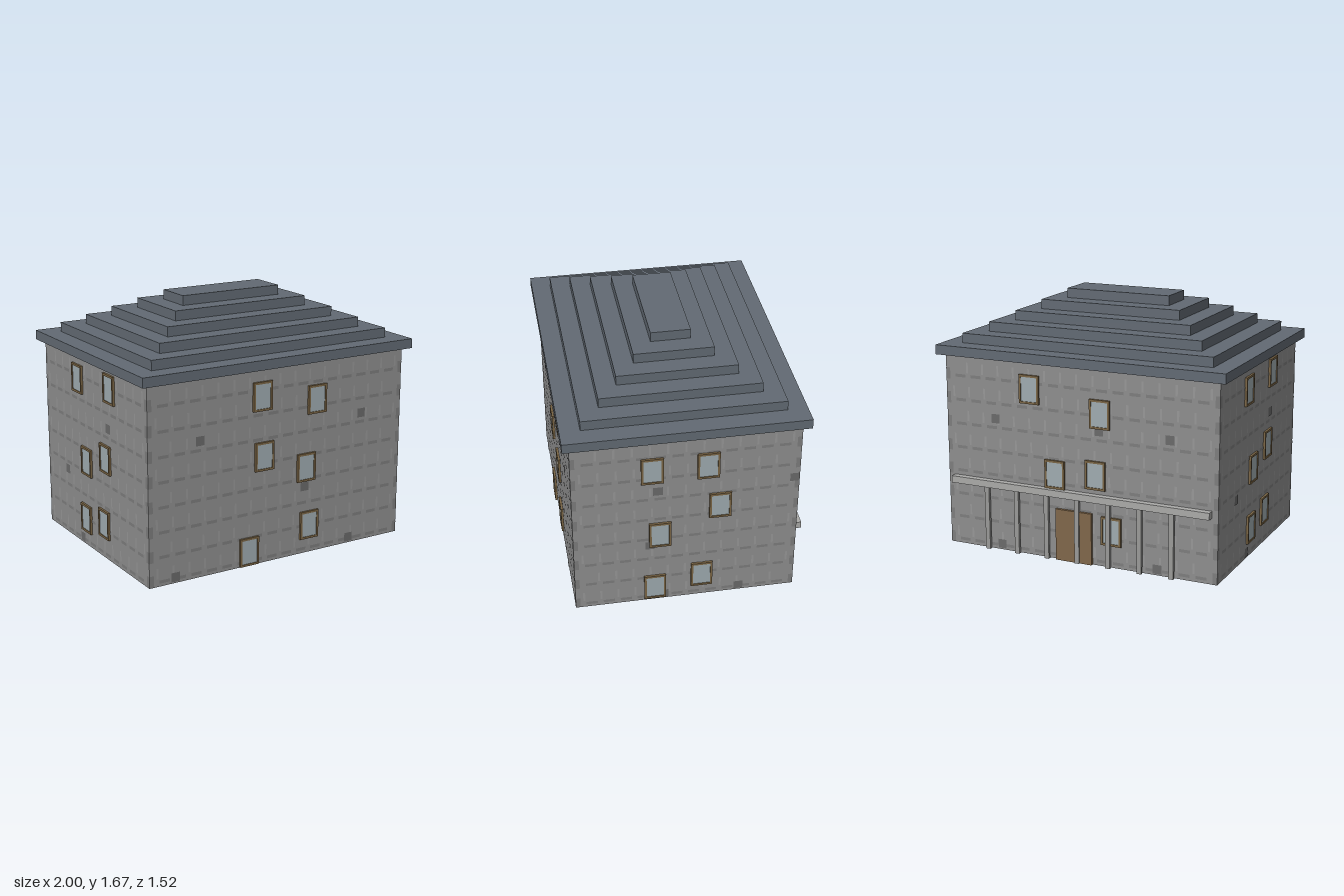
import * as THREE from 'three';
import { mergeGeometries } from 'three/addons/utils/BufferGeometryUtils.js';

const W = 0.952, D = 0.717, H = 1.286; // half width, half depth and height of the walls
const mat = (color) => new THREE.MeshStandardMaterial({ color });
const M = {
  stone: mat(0x8e8e8e), dark: mat(0x7d7d7d), light: mat(0x979797), patch: mat(0x6a6a6a),
  roof: mat(0x626a73), frame: mat(0x7a6545), glass: mat(0x9fabb0),
  door: mat(0x80674a), post: mat(0x9a9a98), beam: mat(0xaaaaa8),
};

function add(parent, name, geometry, material, x = 0, y = 0, z = 0) {
  const mesh = new THREE.Mesh(geometry, material);
  mesh.name = name;
  mesh.position.set(x, y, z);
  parent.add(mesh);
  return mesh;
}
const box = (w, h, d) => new THREE.BoxGeometry(w, h, d);
const tile = (w, h, x, y, z) => new THREE.PlaneGeometry(w, h).translate(x, y, z);

// Window: a wooden ring around a slightly recessed pane
function rectPath(path, w, h) {
  path.moveTo(-w / 2, -h / 2);
  path.lineTo(w / 2, -h / 2);
  path.lineTo(w / 2, h / 2);
  path.lineTo(-w / 2, h / 2);
  path.closePath();
  return path;
}
const ring = rectPath(new THREE.Shape(), 0.14, 0.188);
ring.holes.push(rectPath(new THREE.Path(), 0.112, 0.16));
const frameGeometry = new THREE.ExtrudeGeometry(ring, { depth: 0.015, bevelEnabled: false });
const paneGeometry = box(0.112, 0.16, 0.01);

function makeWindow(x, y) {
  const g = new THREE.Group();
  g.name = 'window';
  g.position.set(x, y, 0);
  add(g, 'windowFrame', frameGeometry, M.frame);
  add(g, 'windowPane', paneGeometry, M.glass, 0, 0, 0.005);
  return g;
}

// Masonry: mortar dashes, upright joints, corner stones and a few dark blocks
function addMasonry(wall, half, patches) {
  const dashes = [], joints = [], n = Math.round((2 * half) / 0.12);
  const pitch = (2 * half - 0.1) / n;
  for (let k = 0; k < 8; k++) {
    const y = 0.03 + 0.16 * k;
    for (let i = 0; i < n; i++) {
      const x = -half + 0.05 + pitch * (i + 0.5);
      dashes.push(tile(pitch * 0.65, 0.02, x, y, 0.0015));
      joints.push(tile(0.014, 0.07, x + pitch / 2 * (k % 2 ? 0.9 : -0.9), y + 0.055, 0.0015));
    }
    for (const s of [-1, 1]) dashes.push(tile(0.03, 0.075, s * (half - 0.015), y + 0.01, 0.001));
  }
  add(wall, 'mortarDashes', mergeGeometries(dashes), M.dark);
  add(wall, 'mortarJoints', mergeGeometries(joints), M.light);
  add(wall, 'darkStones', mergeGeometries(patches.map(([x, y]) => tile(0.06, 0.06, x, y, 0.003))), M.patch);
}

// Each wall is laid out in its own plane, x running right as seen from outside
const walls = [
  { name: 'frontWall', turn: 0, half: W, out: D,
    windows: [[-0.14, 1.11], [0.275, 1.035], [-0.123, 0.717], [0.198, 0.59], [0.227, 0.193], [-0.233, 0.098]],
    patches: [[-0.59, 0.89], [0.63, 0.89], [0.19, 0.46], [-0.77, 0.04], [0.55, 0.04]] },
  { name: 'rightWall', turn: Math.PI / 2, half: D, out: W,
    windows: [[-0.215, 1.053], [0.135, 1.053], [0.215, 0.735], [-0.166, 0.544], [0.104, 0.178], [-0.2, 0.112]],
    patches: [[-0.18, 0.89], [0.685, 0.89], [-0.23, 0.46], [-0.14, 0.04], [0.35, 0.04]] },
  { name: 'backWall', turn: Math.PI, half: W, out: D,
    windows: [[-0.339, 1.11], [0.157, 1.0], [-0.163, 0.57], [0.124, 0.6], [0.235, 0.242]],
    patches: [[-0.59, 0.89], [0.63, 0.89], [0.15, 0.89], [-0.56, 0.04], [0.55, 0.04]] },
  { name: 'leftWall', turn: -Math.PI / 2, half: D, out: W,
    windows: [[-0.22, 1.128], [0.23, 1.155], [0.16, 0.682], [-0.112, 0.59], [0.125, 0.235], [-0.135, 0.191]],
    patches: [[-0.41, 0.46], [0.2, 0.89], [-0.2, 0.04]] },
];

export function createModel() {
  const model = new THREE.Group();
  model.name = 'house';
  add(model, 'walls', box(2 * W, H, 2 * D), M.stone, 0, H / 2, 0);

  // Stepped roof
  const step = 0.127, rise = 0.0635;
  for (let i = 0; i < 6; i++) {
    add(model, 'roofTier', box(2 * (1 - i * step), rise, 2 * (0.762 - i * step)), M.roof, 0, H + rise * (i + 0.5), 0);
  }

  for (const { name, turn, half, out, windows, patches } of walls) {
    const wall = new THREE.Group();
    wall.name = name;
    wall.rotation.y = turn;
    wall.position.set(Math.sin(turn) * out, 0, Math.cos(turn) * out);
    addMasonry(wall, half, patches);
    for (const [x, y] of windows) wall.add(makeWindow(x, y));
    model.add(wall);
  }

  // Back door and the post-and-beam porch in front of it
  add(model, 'door', box(0.255, 0.345, 0.02), M.door, 0.027, 0.1725, -D - 0.01);
  for (let i = -3; i <= 3; i++) {
    add(model, 'porchPost', box(0.032, 0.43, 0.02), M.post, i * 0.218, 0.215, -0.737);
  }
  add(model, 'porchBeam', box(1.82, 0.046, 0.045), M.beam, 0, 0.453, -0.7395);

  return model;
}
